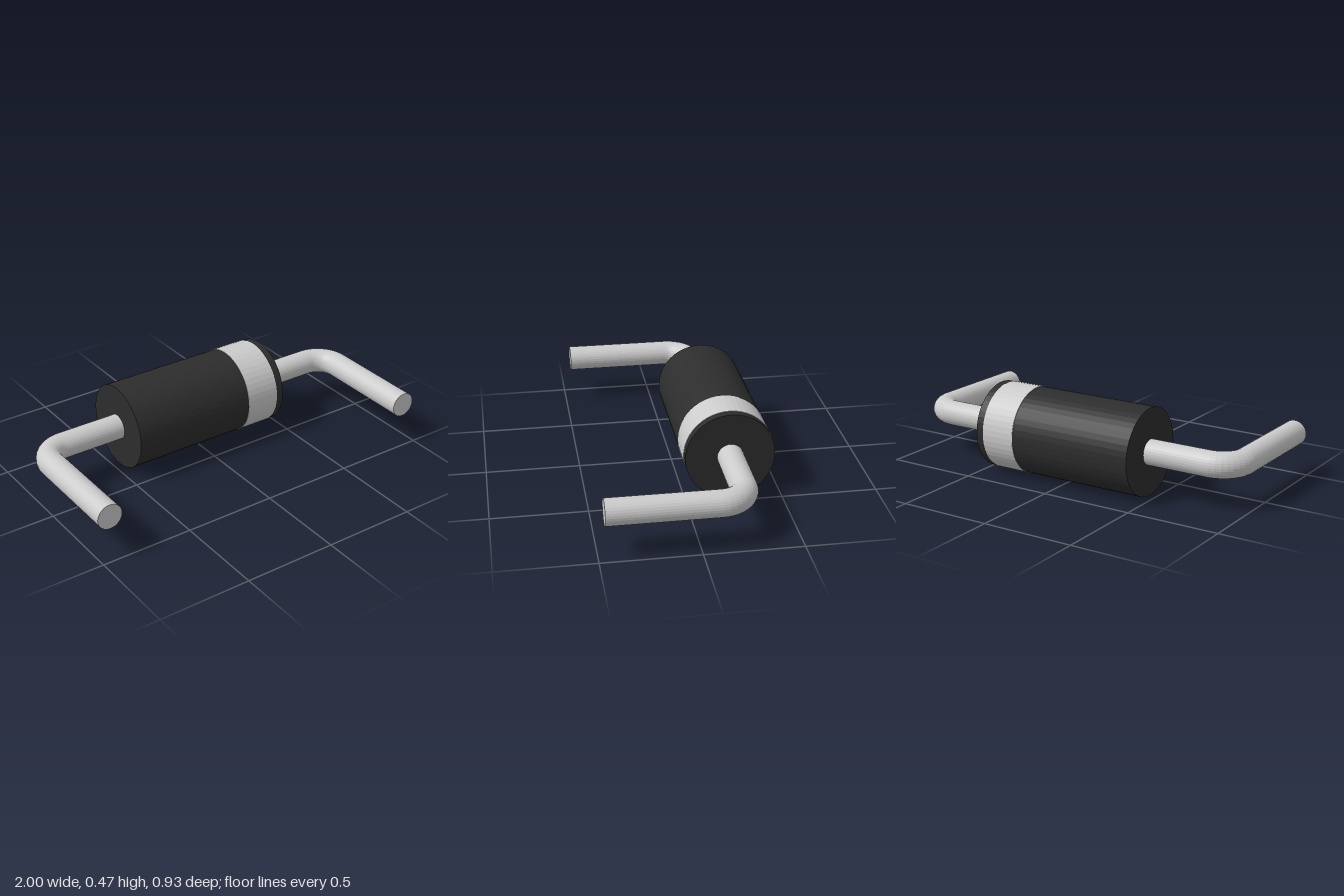
import * as THREE from 'three';

const AXIS_Y = 0.235, AXIS_Z = -0.232;   // centre line of the body
const WIRE_R = 0.068, BEND_R = 0.132;    // lead thickness and bend radius
const LEAD_X = 0.932, LEAD_END = 0.465;  // where the bent legs run and stop

export function createModel() {
  const model = new THREE.Group();
  const dark = new THREE.MeshStandardMaterial({ color: 0x2d2d2d, flatShading: true });
  const grey = new THREE.MeshStandardMaterial({ color: 0xcccccc, flatShading: true });

  const add = (parent, name, geometry, material, x, z) => {
    const mesh = new THREE.Mesh(geometry, material);
    mesh.name = name;
    mesh.position.set(x, AXIS_Y, z);
    parent.add(mesh);
  };
  const barrel = (radius, x0, x1, sides) =>
    new THREE.CylinderGeometry(radius, radius, x1 - x0, sides).rotateZ(Math.PI / 2);

  // Cylindrical body with a slightly proud marker band near the left end
  add(model, 'body', barrel(0.232, -0.464, 0.462, 48), dark, -0.001, AXIS_Z);
  add(model, 'markerBand', barrel(0.2345, 0.23, 0.42, 48), grey, 0.325, AXIS_Z);

  // Mirrored leads: straight out of the body, a quarter bend, then forward
  const bendX = LEAD_X - BEND_R, bendZ = AXIS_Z + BEND_R;
  for (const side of [1, -1]) {
    const lead = new THREE.Group();
    lead.name = side > 0 ? 'leftLead' : 'rightLead';

    const inner = 0.44;
    add(lead, 'leadShaft', barrel(WIRE_R, inner, bendX, 32), grey, side * (inner + bendX) / 2, AXIS_Z);

    const bend = new THREE.TorusGeometry(BEND_R, WIRE_R, 32, 10, Math.PI / 2).rotateX(-Math.PI / 2);
    if (side < 0) bend.rotateY(Math.PI / 2);
    add(lead, 'leadBend', bend, grey, side * bendX, bendZ);

    const leg = new THREE.CylinderGeometry(WIRE_R, WIRE_R, LEAD_END - bendZ, 32).rotateX(Math.PI / 2);
    add(lead, 'leadLeg', leg, grey, side * LEAD_X, (LEAD_END + bendZ) / 2);
    model.add(lead);
  }
  return model;
}
